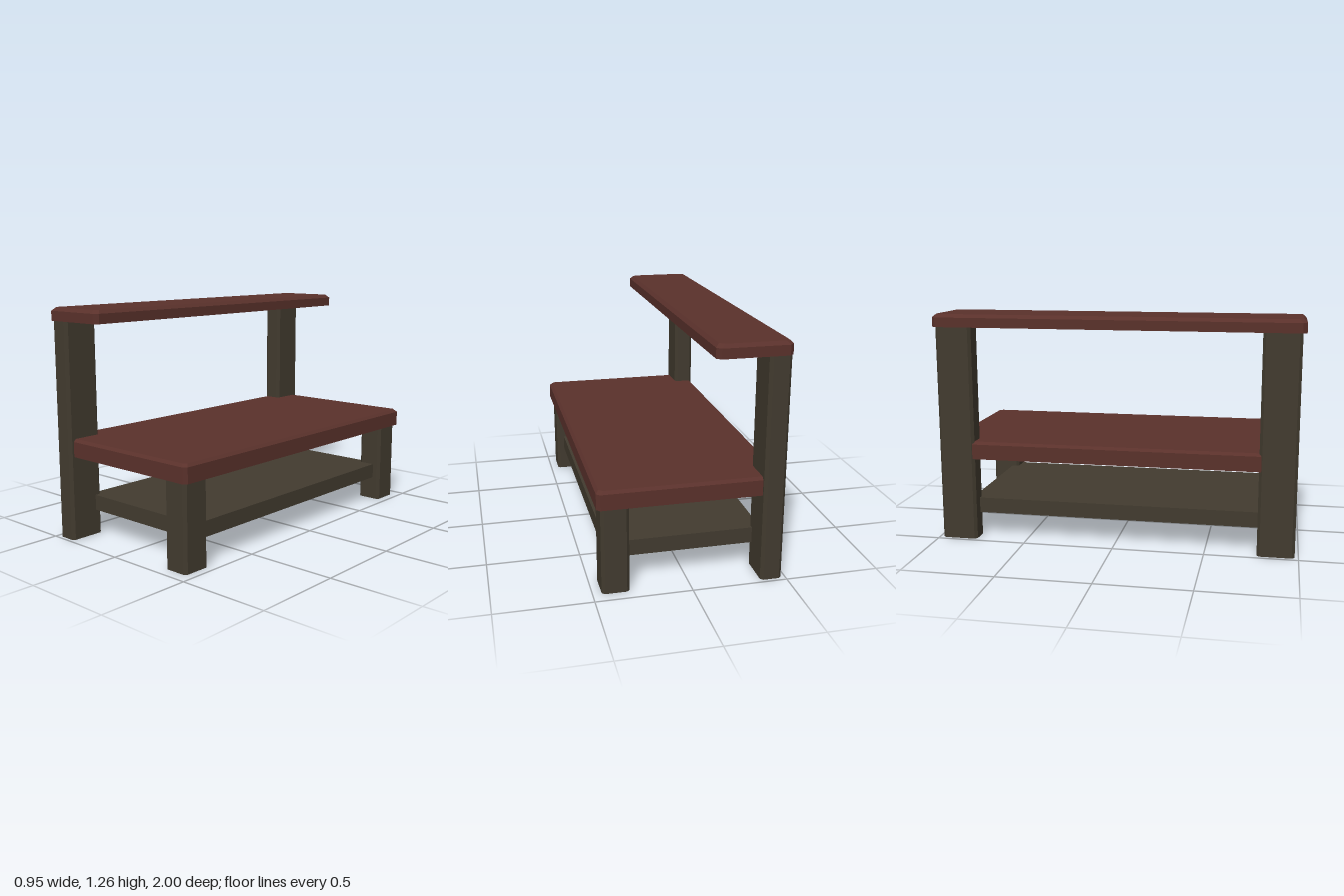
import * as THREE from 'three';

// Eight-sided outline of a rectangle with cut corners, counter-clockwise from above
function outline(w, d, c, y) {
  const x = w / 2, z = d / 2;
  return [
    [x, z - c], [x, -z + c], [x - c, -z], [-x + c, -z],
    [-x, -z + c], [-x, z - c], [-x + c, z], [x - c, z],
  ].map(([px, pz]) => new THREE.Vector3(px, y, pz));
}

// Block with cut vertical corners (c) and a bevelled top edge (b)
function chamferBlock(w, h, d, c, b = 0) {
  const rings = [outline(w, d, c, 0), outline(w, d, c, h - b)];
  if (b > 0) rings.push(outline(w - 2 * b, d - 2 * b, c, h));
  const pos = [];
  const tri = (...points) => points.forEach((p) => pos.push(p.x, p.y, p.z));
  for (let r = 0; r < rings.length - 1; r++) {
    const lo = rings[r], hi = rings[r + 1];
    for (let i = 0; i < 8; i++) {
      const j = (i + 1) % 8;
      tri(lo[i], lo[j], hi[j]);
      tri(lo[i], hi[j], hi[i]);
    }
  }
  const bottom = rings[0], top = rings[rings.length - 1];
  for (let i = 1; i < 7; i++) {
    tri(top[0], top[i], top[i + 1]);
    tri(bottom[0], bottom[i + 1], bottom[i]);
  }
  const g = new THREE.BufferGeometry();
  g.setAttribute('position', new THREE.Float32BufferAttribute(pos, 3));
  g.computeVertexNormals();
  return g;
}

export function createModel() {
  const model = new THREE.Group();
  model.name = 'bench';
  const redWood = new THREE.MeshStandardMaterial({ color: 0x5a312b, flatShading: true });
  const darkWood = new THREE.MeshStandardMaterial({ color: 0x423b2f, flatShading: true });

  const add = (name, geometry, material, x, y, z) => {
    const mesh = new THREE.Mesh(geometry, material);
    mesh.name = name;
    mesh.position.set(x, y, z);
    model.add(mesh);
  };

  // Tall posts along one long side, short legs along the other
  const post = chamferBlock(0.113, 1.19, 0.2, 0.015);
  const leg = chamferBlock(0.143, 0.465, 0.16, 0.015);
  for (const [side, s] of [['Front', 1], ['Back', -1]]) {
    add('tallPost' + side, post, darkWood, -0.422, 0, s * 0.88);
    add('shortLeg' + side, leg, darkWood, 0.382, 0, s * 0.858);
  }

  // Low shelf let into the posts and legs
  add('lowerShelf', new THREE.BoxGeometry(0.82, 0.085, 1.64), darkWood, 0, 0.18, 0);

  // Seat board, and the narrower board on top of the posts
  add('seat', chamferBlock(0.95, 0.098, 1.91, 0.018, 0.015), redWood, 0, 0.462, 0);
  add('topBoard', chamferBlock(0.383, 0.07, 2, 0.022, 0.018), redWood, -0.287, 1.19, 0);

  return model;
}
